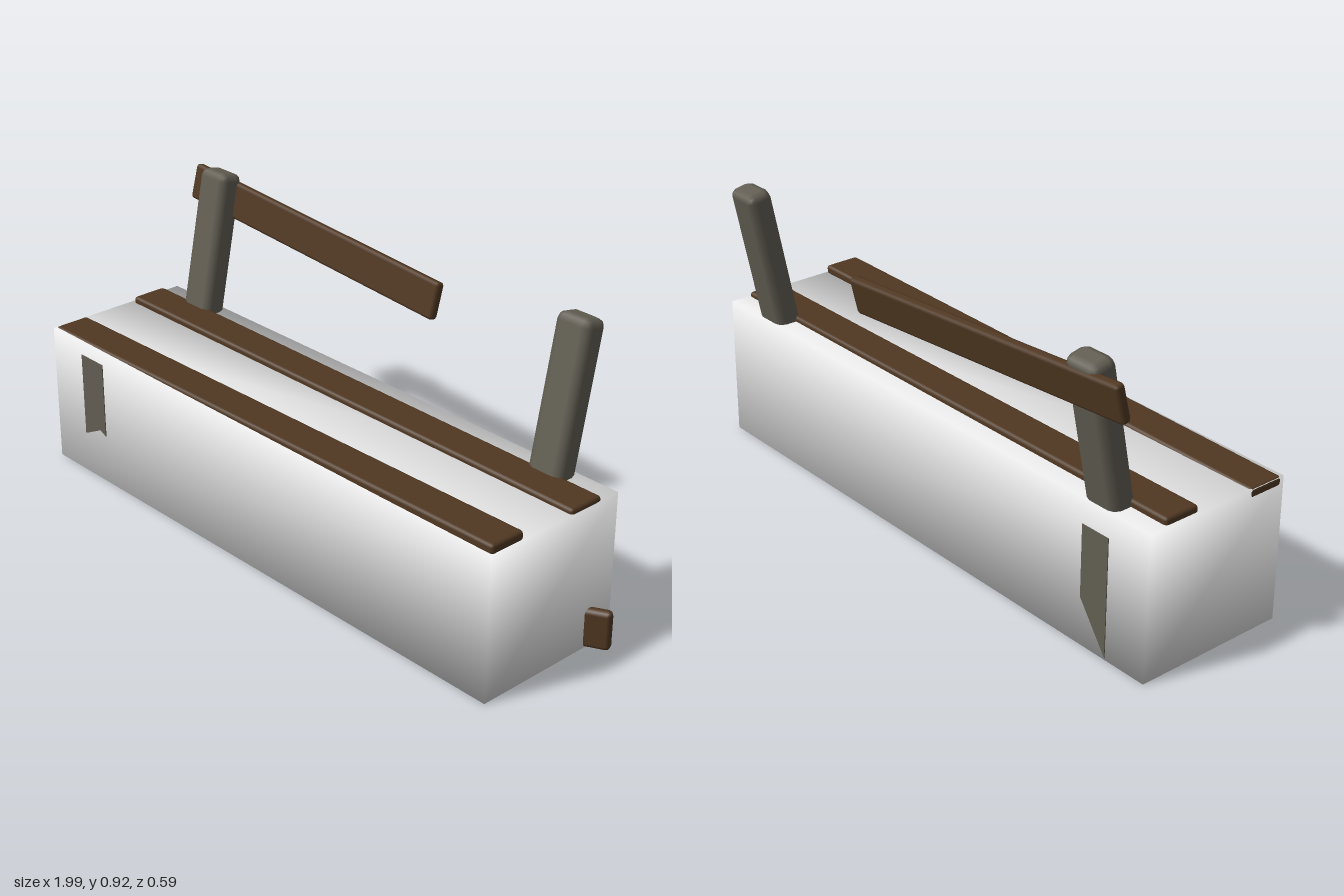
import * as THREE from 'three';
import { mergeVertices } from 'three/addons/utils/BufferGeometryUtils.js';
import { RoundedBoxGeometry } from 'three/addons/geometries/RoundedBoxGeometry.js';

export function createModel() {
  const group = new THREE.Group();
  const white = new THREE.MeshStandardMaterial({ color: 0xffffff });
  white.name = 'whiteStone';
  const brown = new THREE.MeshStandardMaterial({ color: 0x503822 });
  brown.name = 'brownWood';
  const grey = new THREE.MeshStandardMaterial({ color: 0x625e53 });
  grey.name = 'greyWood';

  function add(name, geometry, material, position, rotation = [0, 0, 0]) {
    const mesh = new THREE.Mesh(geometry, material);
    mesh.name = name;
    mesh.position.set(...position);
    mesh.rotation.set(...rotation);
    group.add(mesh);
    return mesh;
  }

  // Timber with bevelled edges
  const timber = (w, h, d, bevel) => new RoundedBoxGeometry(w, h, d, 1, bevel);

  // Base block, with corner normals shared by its faces
  let block = new THREE.BoxGeometry(1.93, 0.46, 0.507);
  block.deleteAttribute('normal');
  block.deleteAttribute('uv');
  block = mergeVertices(block);
  block.computeVertexNormals();
  add('baseBlock', block, white, [-0.035, 0.23, 0.0415]);

  // Seat planks, each tipped slightly along its length
  add('frontSeatPlank', timber(1.93, 0.032, 0.122, 0.01), brown,
    [-0.037, 0.459, 0.225], [0, 0, 0.0125]);
  add('rearSeatPlank', timber(1.92, 0.032, 0.121, 0.01), brown,
    [-0.03, 0.462, -0.083], [0, 0, -0.003]);

  // Leaning back posts
  const lean = -0.199;
  for (const [name, x] of [['rightBackPost', -0.798], ['leftBackPost', 0.73]]) {
    add(name, timber(0.122, 0.54, 0.084, 0.025), grey, [x, 0.651, -0.2], [lean, 0, 0]);
  }

  // Slipped back rail
  add('backRail', timber(1.118, 0.118, 0.032, 0.011), brown,
    [-0.39, 0.8, -0.27], [lean, 0, -0.068, 'ZXY']);

  // Loose board end sticking out of the block
  add('looseBoard', timber(0.16, 0.125, 0.034, 0.014), brown,
    [0.919, 0.0635, -0.117], [0, 0.48, 0]);

  // Leg timbers showing through the front and back faces
  function plate(name, points, z) {
    const shape = new THREE.Shape(points.map(([x, y]) => new THREE.Vector2(x, y)));
    const geometry = new THREE.ExtrudeGeometry(shape, { depth: 0.005, bevelEnabled: false });
    add(name, geometry, grey, [0, 0, z]);
  }
  plate('frontLegFace', [[-0.85, 0.138], [-0.77, 0.178], [-0.742, 0.166],
    [-0.742, 0.418], [-0.85, 0.418]], 0.2925);
  plate('rearLegFace', [[-0.85, 0.008], [-0.748, 0.155], [-0.748, 0.385], [-0.85, 0.385]], -0.2145);

  return group;
}
